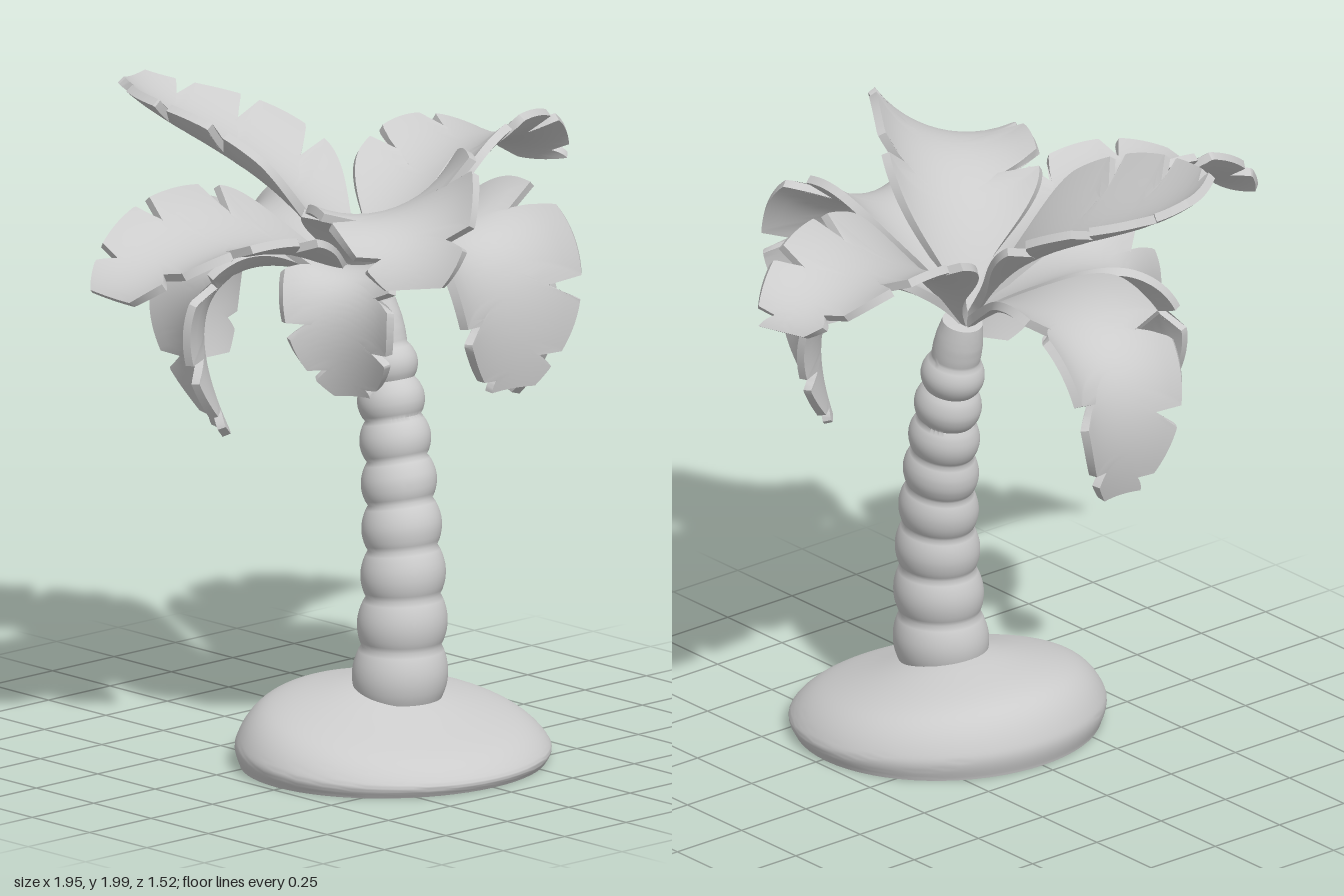
import * as THREE from 'three';
import { toCreasedNormals } from 'three/addons/utils/BufferGeometryUtils.js';

const V = (x, y, z) => new THREE.Vector3(x, y, z);
const { smoothstep, lerp } = THREE.MathUtils;
const UP = V(0, 1, 0);
const ROOT = V(0.075, 1.36, 0.06);
const material = new THREE.MeshStandardMaterial({ color: 0xcccccc });

function addMesh(group, name, geometry, crease) {
  const mesh = new THREE.Mesh(toCreasedNormals(geometry, crease), material);
  mesh.name = name;
  group.add(mesh);
}

// Moves every vertex of a geometry by a rule
function reshape(geometry, rule) {
  const pos = geometry.attributes.position;
  const p = V();
  for (let i = 0; i < pos.count; i++) {
    rule(p.fromBufferAttribute(pos, i));
    pos.setXYZ(i, p.x, p.y, p.z);
  }
  return geometry;
}

// Frond outline: thin stem, broad middle, blunt tip
const halfWidth = (t) =>
  (0.1 + 0.9 * smoothstep(t, 0, 0.4)) * Math.sin(Math.PI * (0.12 + 0.82 * t)) ** 0.7;

// Wedge-shaped tears along one edge, shifted from frond to frond
function tear(t, shift) {
  const start = 0.45 + 0.06 * Math.sin(shift);
  const d = (t - start) % 0.22 / 0.055;
  return t >= start && d < 1 ? 1 - 0.48 * (1 - d) : 1;
}

// A thick, cupped blade swept along a spine that leaves the crown, bends under its crest and ends at the tip
function frondGeometry(crest, tip, width, roll, seed) {
  const rows = 110, cols = 13, ring = cols * 2, thick = 0.013;
  const rise = ROOT.clone().lerp(crest, 0.35).setY(crest.y);
  const curve = new THREE.CubicBezierCurve3(ROOT, rise, crest, tip);
  const flatSide = crest.clone().sub(ROOT).setY(0).normalize().cross(UP);
  const k = 0.75 / width;
  const positions = [], index = [];
  for (let i = 0; i <= rows; i++) {
    const t = i / rows, w = halfWidth(t) * width;
    const edges = [w * tear(t, seed), w * tear(t, seed * 2 + 2)];
    for (let j = 0; j < ring; j++) {
      const top = j < cols;
      const s = ((top ? j : ring - 1 - j) / (cols - 1)) * 2 - 1;
      const x = s * edges[s < 0 ? 0 : 1];
      const u = Math.min(1, t + 0.08 * Math.sin(Math.PI * t) * s * s);
      const tangent = curve.getTangentAt(u);
      const side = flatSide.clone().applyAxisAngle(tangent, -roll);
      const normal = side.clone().cross(tangent).normalize();
      const off = top ? thick : -thick;
      const p = curve.getPointAt(u)
        .addScaledVector(side, (1 / k - off) * Math.sin(k * x))
        .addScaledVector(normal, (1 - Math.cos(k * x)) / k + off * Math.cos(k * x));
      positions.push(p.x, p.y, p.z);
    }
  }
  for (let i = 0; i < rows; i++) {
    for (let j = 0; j < ring; j++) {
      const a = i * ring + j, b = i * ring + ((j + 1) % ring);
      index.push(a, b, a + ring, b, b + ring, a + ring);
    }
  }
  // End caps
  const end = rows * ring;
  for (let j = 0; j < cols - 1; j++) {
    const m = ring - 1 - j;
    index.push(end + j, end + j + 1, end + m - 1, end + j, end + m - 1, end + m);
    index.push(j, m - 1, j + 1, j, m, m - 1);
  }
  const geometry = new THREE.BufferGeometry();
  geometry.setAttribute('position', new THREE.Float32BufferAttribute(positions, 3));
  geometry.setIndex(index);
  return geometry;
}

// Name, crest control point, tip, half-width, roll
const fronds = [
  ['leftFrond', V(0.8, 1.79, -0.18), V(0.93, 1.63, -0.11), 0.25, 0.15],
  ['upperBackFrond', V(-0.13, 1.78, -0.5), V(-0.21, 1.96, -0.69), 0.29, -0.15],
  ['lowerBackFrond', V(0.1, 1.64, -0.8), V(0.09, 1.06, -0.66), 0.23, 0],
  ['backRightFrond', V(-0.55, 1.61, -0.3), V(-0.36, 1.02, -0.12), 0.26, 0],
  ['rightFrond', V(-0.8, 1.71, 0.07), V(-0.94, 1.54, 0.02), 0.25, 0.2],
  ['upperFrontFrond', V(-0.26, 1.84, 0.62), V(-0.31, 1.58, 0.66), 0.28, -0.3],
  ['lowerFrontFrond', V(0.08, 1.77, 0.7), V(0.11, 1.2, 0.62), 0.28, -0.08],
  ['frontLeftFrond', V(0.55, 1.63, 0.37), V(0.41, 1.09, 0.3), 0.23, 0],
  ['frontRightFrond', V(-0.36, 1.6, 0.32), V(-0.2, 1.17, 0.28), 0.19, 0],
];

export function createModel() {
  const group = new THREE.Group();
  group.name = 'palmTree';

  // Lopsided mound, thin at the front and thick at the back
  const rim = new THREE.SplineCurve([
    [0.472, 0], [0.484, 0.06], [0.4, 0.145], [0.2, 0.205], [0, 0.25],
  ].map((p) => new THREE.Vector2(...p)));
  const moundProfile = [new THREE.Vector2(0, 0), ...rim.getPoints(40)];
  const mound = reshape(new THREE.LatheGeometry(moundProfile, 64), (p) => {
    p.y *= 1 - 0.8 * p.z;
    p.z = p.z * 0.93 + 0.235;
  });
  addMesh(group, 'mound', mound, 0.7);

  // Ringed trunk that tapers and leans back, with a smooth neck
  const joint = (s) => 0.2 + 0.162 * s - 0.004 * s * s;
  const trunkProfile = [];
  for (let s = 0; s < 9; s++) {
    for (let i = s ? 1 : 0; i <= 10; i++) {
      const y = lerp(joint(s), joint(s + 1), i / 10);
      const bulge = (s < 8 ? 0.02 : 0.003) * Math.abs(Math.sin(Math.PI * i / 10)) ** 0.8;
      trunkProfile.push(new THREE.Vector2(0.138 - 0.053 * y + bulge, y));
    }
  }
  trunkProfile.push(new THREE.Vector2(0.06, 1.37), new THREE.Vector2(0, 1.375));
  const axis = new THREE.CatmullRomCurve3([
    V(0.01, 0.2, 0.25), V(0.035, 0.6, 0.24), V(0.075, 1.05, 0.15), V(0.08, 1.44, 0.055),
  ]).getPoints(400);
  const trunk = reshape(new THREE.LatheGeometry(trunkProfile, 40), (p) => {
    const centre = axis.find((q) => q.y >= p.y - 0.001);
    p.y += 0.22 * p.z * smoothstep(p.y, 0.3, 0.9);
    p.x += centre.x;
    p.z += centre.z;
  });
  addMesh(group, 'trunk', trunk, 1.2);

  // Crown
  const crown = new THREE.Group();
  crown.name = 'crown';
  fronds.forEach(([name, ...shape], i) => addMesh(crown, name, frondGeometry(...shape, i), 0.6));
  group.add(crown);
  return group;
}
